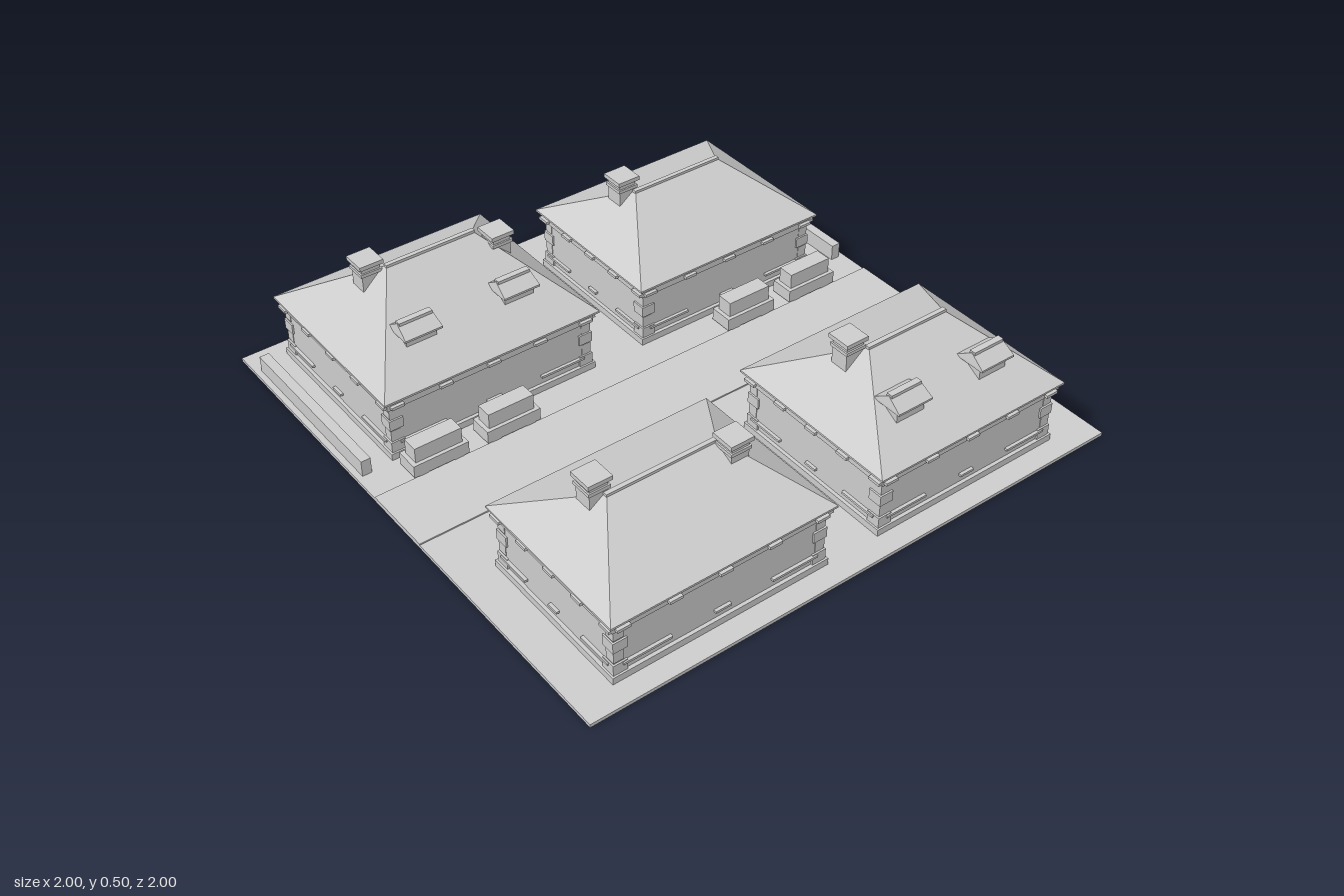
import * as THREE from 'three';

const stone = new THREE.MeshStandardMaterial({ color: 0xcccccc });
stone.name = 'stone';

// Box given by centre x/z, bottom y and size
function box(parent, name, x, y, z, w, h, d) {
  const mesh = new THREE.Mesh(new THREE.BoxGeometry(w, h, d), stone);
  mesh.name = name;
  mesh.position.set(x, y + h / 2, z);
  parent.add(mesh);
  return mesh;
}

// Hipped prism: a box whose top corners are pulled in to the ridge
function hip(parent, name, x, y, z, w, h, d, ridge, ridgeX = x) {
  const mesh = box(parent, name, x, y, z, w, h, d);
  const p = mesh.geometry.attributes.position;
  for (let i = 0; i < p.count; i++) {
    if (p.getY(i) > 0) p.setXYZ(i, Math.sign(p.getX(i)) * ridge / 2 + ridgeX - x, h / 2, Math.sign(p.getZ(i)) * 0.002);
  }
  mesh.geometry = mesh.geometry.toNonIndexed();
  mesh.geometry.computeVertexNormals();
  return mesh;
}

// Dormer with a small pitched roof whose ridge runs along x
function dormer(parent, x, z) {
  const g = new THREE.Group();
  g.name = 'dormer';
  g.position.set(x, 0, z);
  box(g, 'dormerBody', 0, 0.3, -0.005, 0.11, 0.06, 0.08);
  box(g, 'dormerEave', 0, 0.355, 0, 0.135, 0.007, 0.11);
  hip(g, 'dormerRoof', 0, 0.362, 0, 0.135, 0.034, 0.11, 0.125);
  box(g, 'dormerRidge', 0, 0.388, 0, 0.12, 0.013, 0.022);
  parent.add(g);
}

function chimney(parent, x, z, top) {
  const g = new THREE.Group();
  g.name = 'chimney';
  g.position.set(x, 0, z);
  box(g, 'chimneyShaft', 0, 0.28, 0, 0.065, top - 0.29, 0.065);
  box(g, 'chimneyCollar', 0, top - 0.045, 0, 0.076, 0.012, 0.076);
  box(g, 'chimneyCap', 0, top - 0.015, 0, 0.085, 0.015, 0.085);
  parent.add(g);
}

// House from its roof outline, ridge and details
function house({ x0, x1, z0, z1, ridge, peak, chimneys, dormers = [] }) {
  const g = new THREE.Group();
  g.name = 'house';
  const x = (x0 + x1) / 2, z = (z0 + z1) / 2, w = x1 - x0, d = z1 - z0;
  const ww = w - 0.05, wd = d - 0.05;
  box(g, 'plinth', x, 0, z, w - 0.025, 0.036, d - 0.025);
  box(g, 'walls', x, 0.03, z, ww, 0.18, wd);
  box(g, 'frieze', x, 0.205, z, w - 0.03, 0.036, d - 0.03);
  box(g, 'eave', x, 0.239, z, w, 0.007, d);
  hip(g, 'roof', x, 0.246, z, w, peak - 0.246, d, ridge[1] - ridge[0], (ridge[0] + ridge[1]) / 2);
  box(g, 'ridgeCap', (ridge[0] + ridge[1]) / 2, peak - 0.008, z, ridge[1] - ridge[0] + 0.01, 0.014, 0.016);

  // Corner stones
  for (const sx of [-1, 1]) for (const sz of [-1, 1]) for (let i = 0; i < 4; i++) {
    const s = i % 2 ? 0.035 : 0.05;
    const out = i % 2 ? 0.002 : 0.006;
    box(g, 'cornerStone', x + sx * (ww / 2 + out - s / 2), 0.036 + i * 0.043, z + sz * (wd / 2 + out - s / 2), s, 0.038, s);
  }
  // Sills and eave blocks on all four sides
  for (const s of [-1, 1]) {
    for (const k of [-1, 0, 1]) {
      const part = k ? 0.21 : 0.07;
      box(g, 'sill', x + k * 0.33 * w, 0.063, z + s * wd / 2, part * w, 0.008, 0.022);
      box(g, 'sill', x + s * ww / 2, 0.063, z + k * 0.33 * d, 0.022, 0.008, part * d);
    }
    for (let k = -2; k <= 2; k++) {
      box(g, 'eaveBlock', x + k * 0.22 * w, 0.212, z + s * (d / 2 - 0.012), 0.046, 0.01, 0.018);
      box(g, 'eaveBlock', x + s * (w / 2 - 0.012), 0.212, z + k * 0.22 * d, 0.018, 0.01, 0.046);
    }
  }
  for (const c of chimneys) chimney(g, ...c);
  for (const c of dormers) dormer(g, ...c);
  return g;
}

export function createModel() {
  const model = new THREE.Group();
  model.name = 'houseBlock';

  // Ground and crossing lanes
  box(model, 'ground', 0, 0, 0, 2, 0.012, 2);
  box(model, 'lane', 0, 0.01, 0, 2, 0.007, 0.26);

  const houses = [
    { x0: -0.88, x1: -0.075, z0: -0.945, z1: -0.235, ridge: [-0.64, -0.32], peak: 0.468,
      chimneys: [[-0.69, -0.635, 0.495], [-0.255, -0.55, 0.472]], dormers: [[-0.665, -0.393], [-0.3, -0.393]] },
    { x0: 0.095, x1: 0.855, z0: -0.85, z1: -0.235, ridge: [0.3, 0.65], peak: 0.4,
      chimneys: [[0.275, -0.585, 0.455]] },
    { x0: -0.88, x1: -0.075, z0: 0.325, z1: 0.935, ridge: [-0.67, -0.28], peak: 0.395,
      chimneys: [[-0.69, 0.59, 0.455], [-0.255, 0.675, 0.43]] },
    { x0: 0.095, x1: 0.855, z0: 0.28, z1: 0.935, ridge: [0.32, 0.63], peak: 0.432,
      chimneys: [[0.275, 0.565, 0.475]], dormers: [[0.305, 0.785], [0.645, 0.785]] },
  ];
  for (const h of houses) model.add(house(h));

  // Low garden walls along both sides
  for (const s of [-1, 1]) box(model, 'gardenWall', s * 0.962, 0.01, -0.57, 0.034, 0.06, 0.66);

  // Parked blocks along the lane
  for (const x of [-0.76, -0.49, 0.48, 0.75]) {
    box(model, 'parkedBase', x, 0.022, -0.168, 0.2, 0.045, 0.086);
    box(model, 'parkedTop', x, 0.06, -0.168, 0.17, 0.062, 0.06);
    for (const s of [-1, 1]) box(model, 'parkedFoot', x + s * 0.065, 0.01, -0.168, 0.035, 0.02, 0.08);
  }
  return model;
}
